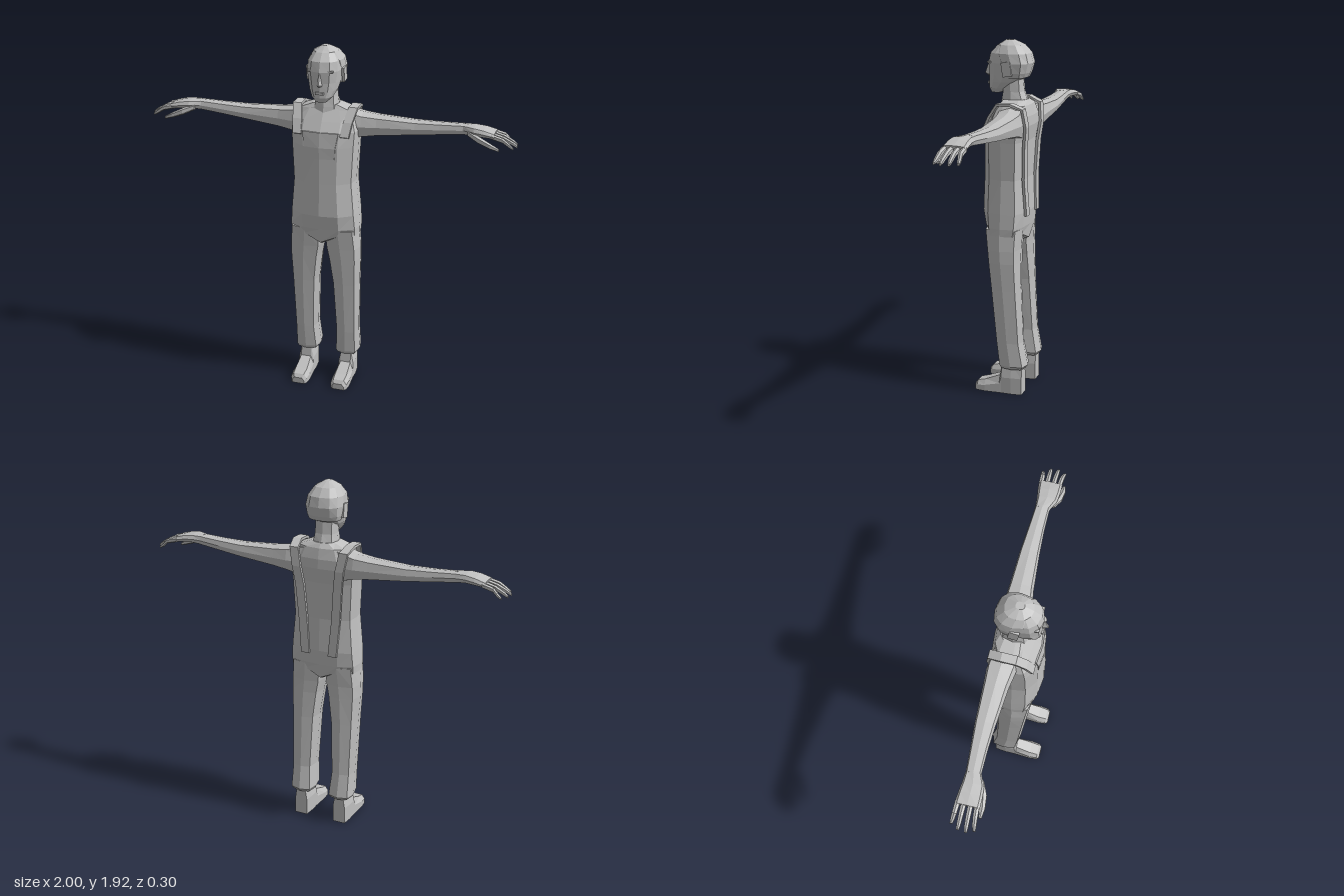
import * as THREE from 'three';

const grey = new THREE.MeshStandardMaterial({ color: 0xc0c0c0, flatShading: true });
grey.name = 'plain grey';

// Closed flat-shaded skin over a list of equal-length rings of [x, y, z]
function loft(name, rings, mirror = 1) {
  const tris = [];
  const n = rings[0].length;
  const middle = r => [0, 1, 2].map(k => r.reduce((s, p) => s + p[k], 0) / n);
  const first = middle(rings[0]), last = middle(rings[rings.length - 1]);
  for (let j = 0; j < n; j++) {
    const k = (j + 1) % n;
    for (let i = 0; i < rings.length - 1; i++) {
      const a = rings[i][j], b = rings[i][k], c = rings[i + 1][k], d = rings[i + 1][j];
      tris.push([a, b, c], [a, c, d]);
    }
    tris.push([first, rings[0][k], rings[0][j]]);
    tris.push([last, rings[rings.length - 1][j], rings[rings.length - 1][k]]);
  }
  // Turn all faces outward by the sign of the enclosed volume
  const v = p => new THREE.Vector3(p[0] * mirror, p[1], p[2]);
  const faces = tris.map(t => t.map(v));
  const volume = faces.reduce((s, [a, b, c]) => s + a.dot(b.clone().cross(c)), 0);
  const points = faces.flatMap(([a, b, c]) => (volume < 0 ? [a, c, b] : [a, b, c]));
  const geo = new THREE.BufferGeometry().setFromPoints(points);
  geo.computeVertexNormals();
  const mesh = new THREE.Mesh(geo, grey);
  mesh.name = name;
  return mesh;
}

// Rounded-square outline as [u, v] pairs between two limits on each axis
function oval(u0, u1, v0, v1, n = 8, power = 0.6) {
  const soft = t => Math.sign(t) * Math.pow(Math.abs(t), power);
  return Array.from({ length: n }, (_, i) => {
    const a = (i / n) * Math.PI * 2;
    return [(u0 + u1) / 2 + soft(Math.cos(a)) * (u1 - u0) / 2,
      (v0 + v1) / 2 + soft(Math.sin(a)) * (v1 - v0) / 2];
  });
}
const flatRing = (y, x0, x1, z0, z1, n, p) => oval(x0, x1, z0, z1, n, p).map(([x, z]) => [x, y, z]);
const sideRing = (x, y0, y1, z0, z1, n, p) => oval(y0, y1, z0, z1, n, p).map(([y, z]) => [x, y, z]);

// Torso ring with broad front and back panels; drop lowers the centre line
function torsoRing([y, w, front, back, corner, drop = 0]) {
  const half = [[corner, y, front - 0.012], [w * 0.94, y, front * 0.5], [w, y, -0.01],
    [w * 0.95, y, back * 0.7], [corner, y, back + 0.008]];
  return [[0, y - drop, front], ...half, [0, y - drop, back],
    ...half.slice().reverse().map(([x, h, z]) => [-x, h, z])];
}

// Flat band following a path, its width along x
function band(name, path, halfWidth, thick, side) {
  const rings = path.map(([x, y, z], i) => {
    const a = path[Math.max(i - 1, 0)], b = path[Math.min(i + 1, path.length - 1)];
    const len = Math.hypot(b[1] - a[1], b[2] - a[2]);
    const ny = (a[2] - b[2]) / len * thick, nz = (b[1] - a[1]) / len * thick;
    return [[x - halfWidth, y - ny, z - nz], [x + halfWidth, y - ny, z - nz],
      [x + halfWidth, y + ny, z + nz], [x - halfWidth, y + ny, z + nz]];
  });
  return loft(name, rings, side);
}

function box(name, w, h, d, x, y, z, rx = 0) {
  const mesh = new THREE.Mesh(new THREE.BoxGeometry(w, h, d), grey);
  mesh.name = name;
  mesh.position.set(x, y, z);
  mesh.rotation.x = rx;
  return mesh;
}

function makeHead() {
  const head = new THREE.Group();
  head.name = 'head';
  const skull = [[1.64, 0.03, 0.1, 0.045], [1.665, 0.055, 0.11, 0], [1.7, 0.073, 0.11, -0.06],
    [1.74, 0.083, 0.11, -0.1], [1.8, 0.092, 0.115, -0.125], [1.85, 0.087, 0.103, -0.112],
    [1.89, 0.062, 0.065, -0.075], [1.915, 0.02, 0.02, -0.025]];
  head.add(loft('face', skull.map(([y, w, f, b]) => flatRing(y, -w, w, b, f, 12, 0.85))));
  const hair = [[1.725, 0.086, 0.02, -0.1], [1.75, 0.094, 0.035, -0.113], [1.8, 0.1, 0.05, -0.128],
    [1.85, 0.093, 0.07, -0.115], [1.892, 0.065, 0.06, -0.078], [1.917, 0.02, 0.02, -0.025]];
  head.add(loft('hair', hair.map(([y, w, f, b]) => flatRing(y, -w, w, b, f, 12, 0.8))));
  head.add(loft('neck', [[1.5, 0.08, 0.06, -0.12], [1.6, 0.067, 0.045, -0.1],
    [1.65, 0.06, 0.035, -0.08], [1.73, 0.058, 0.03, -0.072]]
    .map(([y, w, f, b]) => flatRing(y, -w, w, b, f, 8, 0.7))));
  // Nose wedge, lips and brows
  head.add(loft('nose', [[1.725, 0.018, 0.118], [1.738, 0.016, 0.138], [1.795, 0.007, 0.118]]
    .map(([y, w, z]) => [[-w, y, 0.09], [w, y, 0.09], [w * 0.3, y, z], [-w * 0.3, y, z]])));
  head.add(box('lips', 0.044, 0.014, 0.02, 0, 1.69, 0.106));
  for (const s of [-1, 1]) {
    head.add(box('brow', 0.045, 0.009, 0.02, s * 0.045, 1.803, 0.093));
    head.add(box('ear', 0.014, 0.075, 0.05, s * 0.095, 1.772, -0.014, 0.15));
  }
  return head;
}

function makeArm(s) {
  const arm = new THREE.Group();
  arm.name = s > 0 ? 'leftArm' : 'rightArm';
  const sleeve = [[0.09, 1.4, 1.595, -0.12, 0.03], [0.19, 1.432, 1.565, -0.13, 0.015],
    [0.27, 1.445, 1.555, -0.125, 0.002], [0.47, 1.467, 1.543, -0.117, -0.014],
    [0.6, 1.482, 1.545, -0.106, -0.02], [0.73, 1.497, 1.55, -0.096, -0.02]];
  arm.add(loft('sleeve', sleeve.map(([x, ...r]) => sideRing(x, ...r)), s));
  const palm = [[0.72, 1.497, 1.55, -0.096, -0.02], [0.78, 1.502, 1.55, -0.1, 0.008],
    [0.83, 1.5, 1.543, -0.107, 0.012], [0.885, 1.498, 1.527, -0.112, 0.012]];
  arm.add(loft('palm', palm.map(([x, ...r]) => sideRing(x, ...r)), s));
  // Four fingers, back to front, then the thumb
  [[-0.098, 0.972], [-0.068, 0.995], [-0.035, 1], [-0.004, 0.985]].forEach(([z, tip], i) => {
    const spread = (i - 1.5) * 0.006;
    const path = [[0.87, 1.512, 0.014], [0.93, 1.497, 0.013], [tip - 0.02, 1.474, 0.011], [tip, 1.461, 0.007]];
    arm.add(loft('finger', path.map(([x, y, r], k) =>
      sideRing(x, y - r, y + r, z + spread * k * 0.4 - r, z + spread * k * 0.4 + r, 6, 0.8)), s));
  });
  arm.add(loft('thumb', [[0.75, 1.515, -0.015, 0.016], [0.81, 1.492, 0.01, 0.019],
    [0.87, 1.468, 0.019, 0.015], [0.915, 1.45, 0.018, 0.008]]
    .map(([x, y, z, r]) => sideRing(x, y - r, y + r, z - r, z + r, 6, 0.8)), s));
  return arm;
}

function makeLeg(s) {
  const leg = new THREE.Group();
  leg.name = s > 0 ? 'leftLeg' : 'rightLeg';
  const trouser = [[0.93, 0, 0.186, -0.108, 0.095], [0.82, 0.008, 0.195, -0.1, 0.08],
    [0.75, 0.022, 0.195, -0.1, 0.073], [0.6, 0.043, 0.188, -0.105, 0.058],
    [0.3, 0.057, 0.18, -0.12, 0.03], [0.168, 0.047, 0.183, -0.145, 0.014],
    [0.15, 0.056, 0.173, -0.132, 0.004]];
  leg.add(loft('trouserLeg', trouser.map(([y, ...r]) => flatRing(y, ...r)), s));
  const shoe = [[-0.12, 0.036, 0.17], [-0.06, 0.043, 0.17], [-0.005, 0.043, 0.165],
    [0.006, 0.044, 0.1], [0.09, 0.05, 0.065], [0.135, 0.046, 0.052], [0.15, 0.034, 0.034]];
  leg.add(loft('shoe', shoe.map(([z, w, h]) => [[-w, 0], [w, 0], [w, h * 0.55], [w * 0.65, h],
    [-w * 0.65, h], [-w, h * 0.55]].map(([x, y]) => [0.117 + x, y, z])), s));
  return leg;
}

export function createModel() {
  const model = new THREE.Group();
  model.name = 'figure';
  // Overalls body, from crotch to collar
  const body = [[0.865, 0.05, 0.07, -0.07, 0.03, 0.02], [0.9, 0.188, 0.1, -0.108, 0.095, 0.04],
    [0.94, 0.189, 0.112, -0.118, 0.1], [1.02, 0.183, 0.126, -0.125, 0.1],
    [1.2, 0.167, 0.122, -0.115, 0.09], [1.4, 0.177, 0.118, -0.122, 0.095],
    [1.48, 0.182, 0.106, -0.135, 0.1], [1.53, 0.168, 0.075, -0.132, 0.1],
    [1.585, 0.14, 0.04, -0.118, 0.08], [1.61, 0.07, 0.03, -0.1, 0.04]];
  model.add(loft('torso', body.map(torsoRing)));
  // Bib panel lying on the chest
  model.add(loft('bib', [[1.34, 0.08, 0.12], [1.4, 0.084, 0.122], [1.48, 0.098, 0.112]]
    .map(([y, w, z]) => [[-w, y, z - 0.016], [0, y, z - 0.006], [w, y, z - 0.016],
      [w, y, z - 0.009], [0, y, z + 0.001], [-w, y, z - 0.009]])));
  const strap = [[0.128, 1.46, 0.094], [0.137, 1.53, 0.06], [0.152, 1.597, 0.012], [0.152, 1.6, -0.06],
    [0.14, 1.575, -0.122], [0.122, 1.48, -0.134], [0.108, 1.38, -0.122],
    [0.095, 1.2, -0.115], [0.078, 1.0, -0.124]];
  for (const s of [1, -1]) {
    model.add(makeArm(s), makeLeg(s), band(s > 0 ? 'leftStrap' : 'rightStrap', strap, 0.024, 0.007, s));
  }
  model.add(makeHead());
  return model;
}
